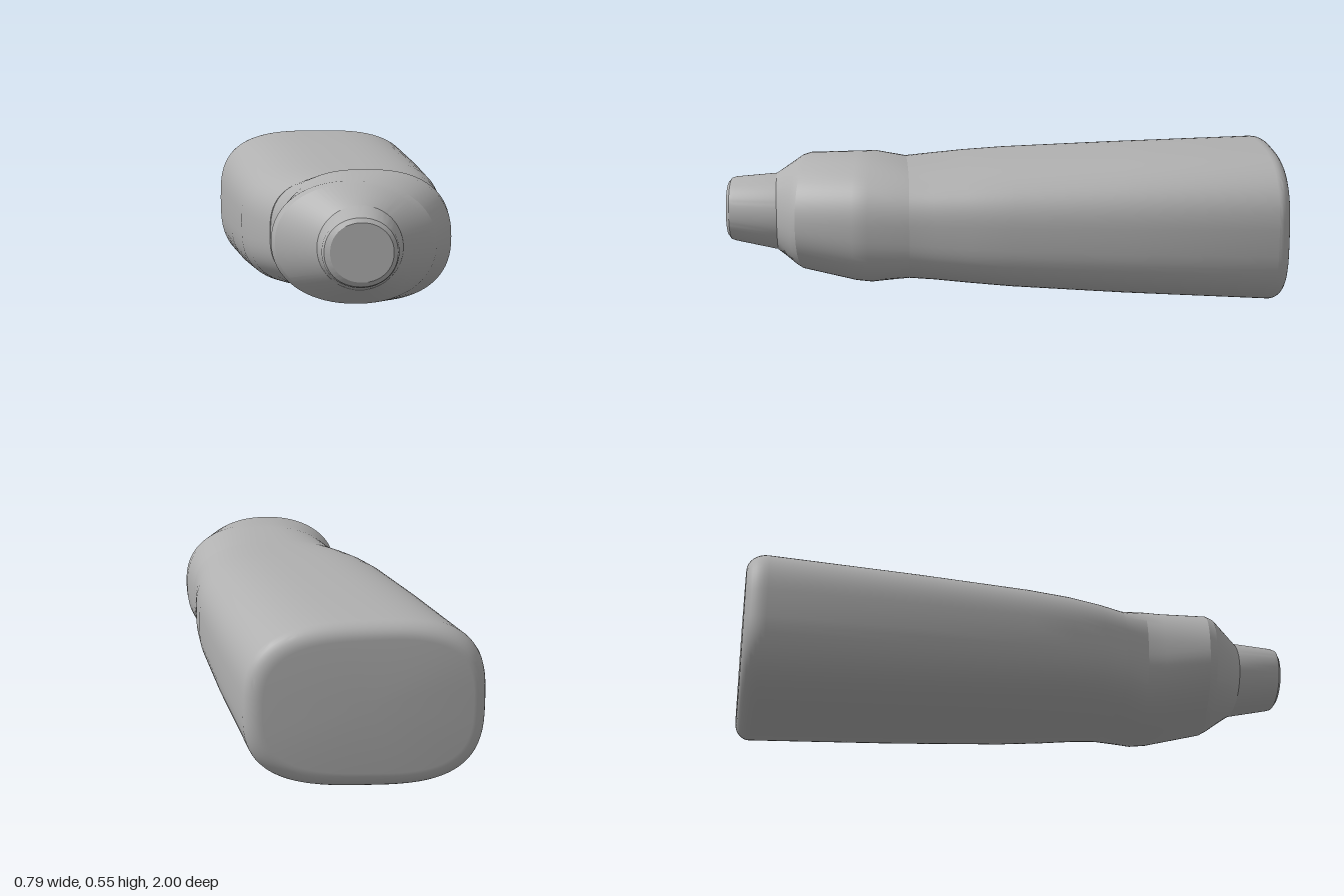
import * as THREE from 'three';
import { toCreasedNormals } from 'three/addons/utils/BufferGeometryUtils.js';

const SIDES = 80;

// Skin closed superellipse sections along z.
// section: [z, left, right, bottom, top, roundness exponent, z slope along x, skew of underside]
function loft(sections, crease) {
  const pos = [], index = [];
  const centre = ([z, l, r, b, t, , s]) => [(l + r) / 2, (b + t) / 2, z + s * (l + r) / 2];
  for (const [z, l, r, b, t, n, slope, skew = 0] of sections) {
    for (let j = 0; j < SIDES; j++) {
      const a = (j / SIDES) * Math.PI * 2, c = Math.cos(a), s = Math.sin(a);
      const u = Math.sign(c) * Math.abs(c) ** (2 / n), v = Math.sign(s) * Math.abs(s) ** (2 / n);
      const x = (l + r) / 2 + (u * (r - l)) / 2;
      const y = (b + t) / 2 + (v * (t - b)) / 2 + skew * x * Math.max(0, -v);
      pos.push(x, y, z + slope * x);
    }
  }
  const rows = sections.length;
  for (let i = 0; i < rows - 1; i++) {
    for (let j = 0; j < SIDES; j++) {
      const k = (j + 1) % SIDES;
      const a = i * SIDES + j, b = i * SIDES + k, c = b + SIDES, d = a + SIDES;
      index.push(a, b, c, a, c, d);
    }
  }
  // End caps
  const back = rows * SIDES, front = back + 1, last = (rows - 1) * SIDES;
  pos.push(...centre(sections[0]), ...centre(sections[rows - 1]));
  for (let j = 0; j < SIDES; j++) {
    const k = (j + 1) % SIDES;
    index.push(back, k, j, front, last + j, last + k);
  }
  const g = new THREE.BufferGeometry();
  g.setAttribute('position', new THREE.Float32BufferAttribute(pos, 3));
  g.setIndex(index);
  return toCreasedNormals(g, crease);
}

export function createModel() {
  const group = new THREE.Group();
  const grey = new THREE.MeshStandardMaterial({ color: 0xb0b0b0 });
  grey.name = 'grey';
  const add = (name, geometry) => {
    const mesh = new THREE.Mesh(geometry, grey);
    mesh.name = name;
    group.add(mesh);
  };

  // Rounded rear edge of the container
  const body = [];
  for (let i = 0; i <= 8; i++) {
    const a = (i / 8) * Math.PI / 2, inset = 0.055 * (1 - Math.sin(a));
    body.push([-0.925 - 0.06 * Math.cos(a), -0.395 + inset, 0.392 - inset,
      0.006 + inset, 0.555 - inset, 3, 0.04 * Math.cos(a) + 0.01, 0.05]);
  }
  // Long tapering container, narrowing towards the collar
  body.push(
    [-0.4, -0.372, 0.387, 0.045, 0.545, 3, 0, 0.04],
    [0, -0.347, 0.375, 0.08, 0.535, 3, 0, 0.03],
    [0.15, -0.328, 0.362, 0.098, 0.528, 3, 0, 0.02],
    [0.27, -0.3, 0.345, 0.112, 0.522, 2.9, 0, 0.01],
    [0.36, -0.265, 0.336, 0.121, 0.52, 2.8, 0],
  );
  add('container', loft(body, 0.32));

  // Slanted collar, sloping in at the shoulder to meet the spout
  add('collar', loft([
    [0.355, -0.264, 0.336, 0.121, 0.52, 2.8, 0],
    [0.47, -0.232, 0.338, 0.106, 0.551, 2.5, 0.1],
    [0.53, -0.24, 0.333, 0.11, 0.55, 2.4, 0.08],
    [0.71, -0.278, 0.255, 0.135, 0.54, 2.15, 0.17],
    [0.735, -0.267, 0.235, 0.146, 0.532, 2.1, 0.16],
    [0.82, -0.138, 0.138, 0.2, 0.474, 2, 0],
  ], 0.32));

  // Slightly offset spout with a bevelled tip
  add('spout', loft([
    [0.8, -0.14, 0.14, 0.2, 0.475, 2, 0],
    [0.825, -0.14, 0.138, 0.202, 0.474, 2, 0],
    [0.965, -0.136, 0.107, 0.232, 0.461, 2.05, 0.07],
    [0.982, -0.13, 0.101, 0.238, 0.456, 2.1, 0.07],
    [0.993, -0.112, 0.087, 0.254, 0.442, 2.1, 0.07],
  ], 0.45));

  return group;
}
